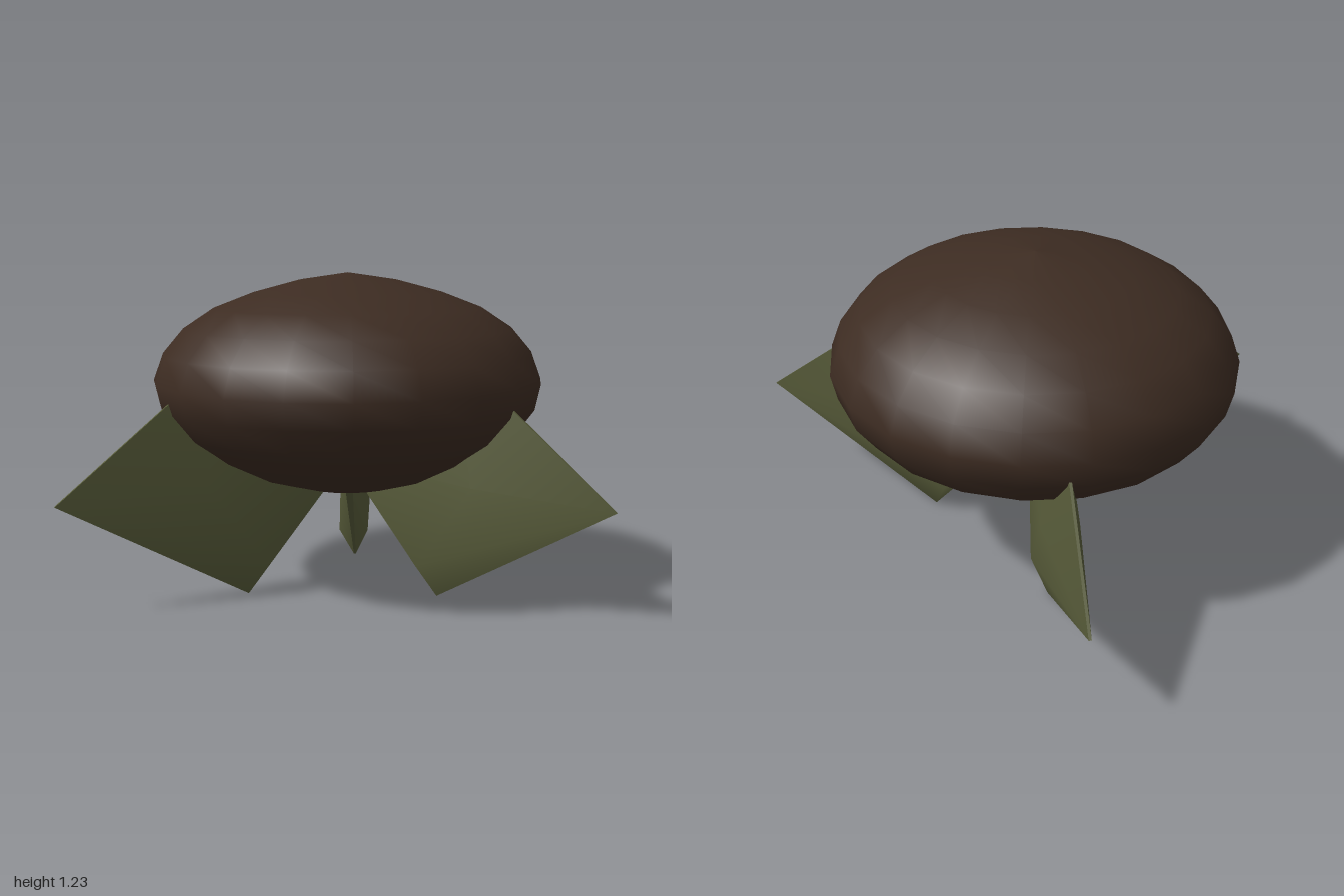
import * as THREE from 'three';

const V = (x, y) => new THREE.Vector2(x, y);

// Pillow-shaped fin: sharp rim, thick middle. Corners are [radius, height, half thickness].
function finGeometry() {
  const corners = [
    [1.15, 0.41, 0.005], // 0 outer tip
    [0.5, 0.93, 0.005],  // 1 upper corner, inside the body
    [0.0, 0.5, 0.02],    // 2 inner corner, inside the body
    [0.42, 0.0, 0.004],  // 3 foot
    [0.6, 0.45, 0.07],   // 4 thick centre
    [0.36, 0.12, 0.06],  // 5 thick point above the foot
  ];
  const side = [[4, 0, 1], [4, 1, 2], [4, 2, 5], [5, 2, 3], [5, 3, 0], [5, 0, 4]];
  const position = [];
  const index = [];
  for (const s of [1, -1]) {
    const base = position.length / 3;
    for (const [r, y, w] of corners) position.push(r, y, w * s);
    for (const [a, b, c] of side) {
      index.push(base + a, base + (s > 0 ? b : c), base + (s > 0 ? c : b));
    }
  }
  // Narrow strip closing the rim; its own vertices keep the edge crisp
  for (let i = 0; i < 4; i++) {
    const a = corners[i], b = corners[(i + 1) % 4];
    const base = position.length / 3;
    for (const [p, s] of [[a, 1], [a, -1], [b, -1], [b, 1]]) position.push(p[0], p[1], p[2] * s);
    index.push(base, base + 1, base + 2, base, base + 2, base + 3);
  }
  const g = new THREE.BufferGeometry();
  g.setAttribute('position', new THREE.Float32BufferAttribute(position, 3));
  g.setIndex(index);
  g.computeVertexNormals();
  return g;
}

export function createModel() {
  const brown = new THREE.MeshStandardMaterial({ color: 0x3d2c22 });
  brown.name = 'darkBrown';
  const olive = new THREE.MeshStandardMaterial({ color: 0x585c3a });
  olive.name = 'oliveGreen';

  const model = new THREE.Group();
  model.name = 'model';
  model.position.x = -0.2;

  // Flattened round body
  const profile = [
    V(0, 0.37), V(0.19, 0.39), V(0.37, 0.44), V(0.535, 0.52), V(0.66, 0.61), V(0.735, 0.71),
    V(0.758, 0.81), V(0.72, 0.915), V(0.64, 1.01), V(0.52, 1.09), V(0.365, 1.15), V(0.19, 1.197), V(0, 1.225),
  ];
  const body = new THREE.Mesh(new THREE.LatheGeometry(profile, 20), brown);
  body.name = 'body';
  body.position.z = -0.018;
  model.add(body);

  // Three fin-shaped legs evenly around the body
  const geometry = finGeometry();
  ['leftFin', 'backFin', 'frontFin'].forEach((name, i) => {
    const fin = new THREE.Mesh(geometry, olive);
    fin.name = name;
    fin.rotation.y = (i * Math.PI * 2) / 3;
    model.add(fin);
  });

  const root = new THREE.Group();
  root.add(model);
  return root;
}
